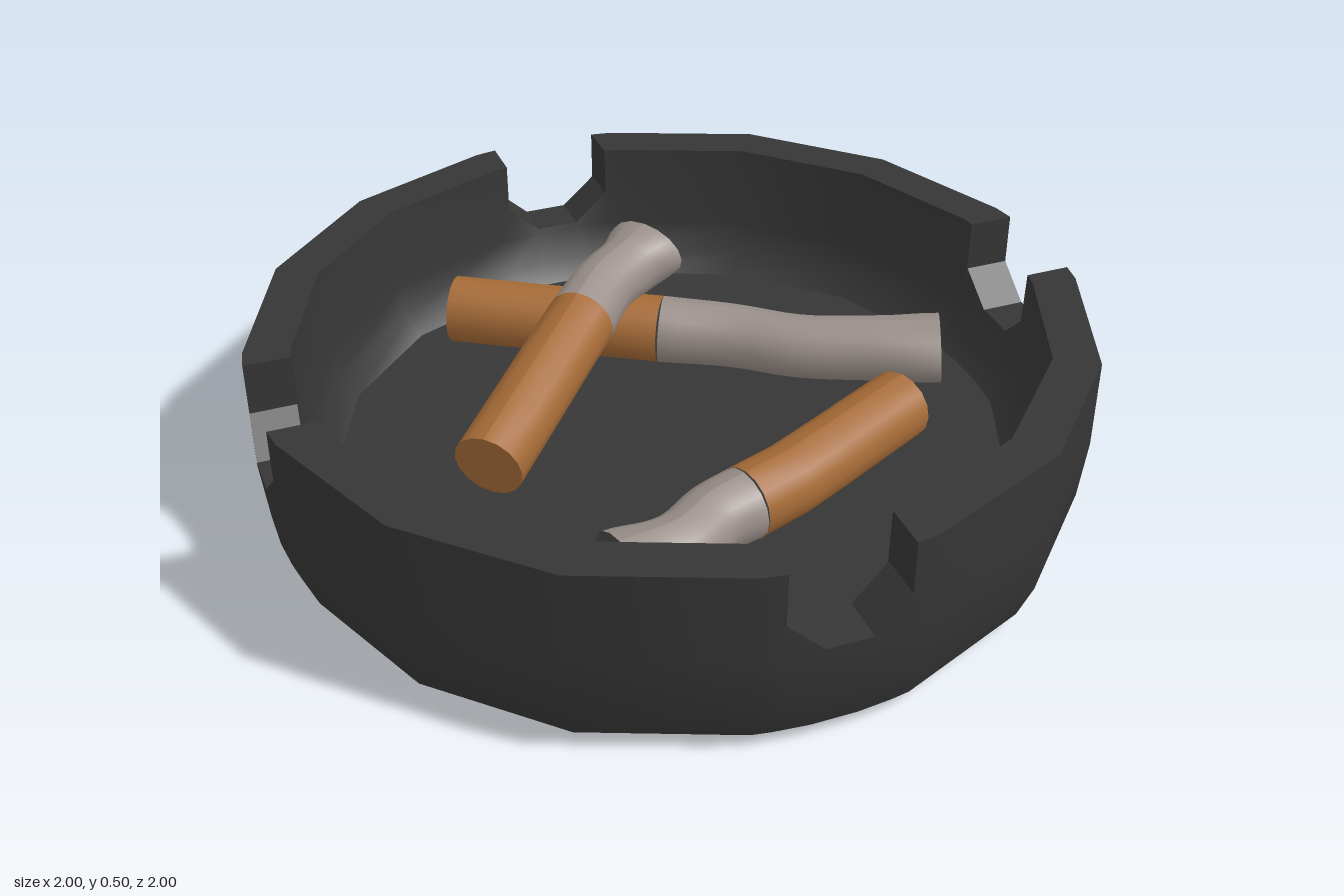
import * as THREE from 'three';
import { toCreasedNormals } from 'three/addons/utils/BufferGeometryUtils.js';

const mat = (name, color) => {
  const m = new THREE.MeshStandardMaterial({ color });
  m.name = name;
  return m;
};

const RIM = 0.5;

// Bowl: one closed profile swept through columns whose top height dips at the four notches
function bowlGeometry() {
  const profile = [
    [0, 0], [0.87, 0], [0.95, 0.04], [0.985, 0.13], [1, 0.28], [1, RIM],
    [0.89, RIM], [0.885, 0.28], [0.865, 0.2], [0.82, 0.15], [0.42, 0.13], [0, 0.12],
  ];
  const column = (base, { off = 0, turn = 0, top = RIM }) => profile.map(([r, y]) => {
    const a = base + turn + Math.asin(off / Math.max(r, 0.82));
    return new THREE.Vector3(r * Math.sin(a), Math.min(y, top), r * Math.cos(a));
  });
  const notch = [{ off: 0.055, top: 0.29 }, { off: 0.14, top: 0.37 }, { off: 0.14 }];
  const columns = [];
  for (let q = 0; q < 4; q++) {
    const base = q * Math.PI / 2, next = base + Math.PI / 2;
    notch.forEach((n) => columns.push(column(base, n)));
    for (let k = 0; k < 4; k++) columns.push(column(base, { turn: (k + 0.5) * Math.PI / 8 }));
    [...notch].reverse().forEach((n) => columns.push(column(next, { ...n, off: -n.off })));
  }
  const points = [];
  const tri = (a, b, c) => {
    if (new THREE.Triangle(a, b, c).getArea() > 1e-6) points.push(a, b, c);
  };
  columns.forEach((left, i) => {
    const right = columns[(i + 1) % columns.length];
    for (let j = 0; j < profile.length - 1; j++) {
      tri(left[j], right[j], right[j + 1]);
      tri(left[j], right[j + 1], left[j + 1]);
    }
  });
  const g = new THREE.BufferGeometry().setFromPoints(points);
  return toCreasedNormals(g, THREE.MathUtils.degToRad(35));
}

// Tube along a path, with its width and height scaled by shape(t)
function bentTube(path, segments, sides, shape) {
  const curve = new THREE.CatmullRomCurve3(path.map((p) => new THREE.Vector3(...p)));
  const g = new THREE.TubeGeometry(curve, segments, 0.088, sides);
  const pos = g.attributes.position, v = new THREE.Vector3();
  for (let i = 0; i < pos.count; i++) {
    const t = Math.floor(i / (sides + 1)) / segments;
    const c = curve.getPointAt(t);
    const [w, h] = shape(t);
    v.fromBufferAttribute(pos, i).sub(c);
    pos.setXYZ(i, c.x + v.x * w, c.y + v.y * h, c.z + v.z * w);
  }
  g.computeVertexNormals();
  return { geometry: g, curve };
}

// Disc closing a tube end
function endCap(curve, t, w, h, material, name) {
  const cap = new THREE.Mesh(new THREE.CircleGeometry(0.088, 16), material);
  const p = curve.getPointAt(t), dir = curve.getTangentAt(t);
  cap.position.copy(p);
  cap.lookAt(p.clone().addScaledVector(dir, t > 0.5 ? 1 : -1));
  cap.scale.set(w, h, 1);
  cap.name = name;
  return cap;
}

// Cigarette stub: straight filter, then crumpled paper that flares at the burnt end
function stub(name, filterPath, paperPath, m) {
  const group = new THREE.Group();
  group.name = name;
  const filter = bentTube(filterPath, 4, 16, () => [1, 1]);
  const flare = (t) => {
    const pinch = Math.sin(Math.PI * Math.min(t / 0.95, 1)) * 0.06;
    const open = THREE.MathUtils.smoothstep(t, 0.7, 1);
    return [1 - pinch + 0.25 * open, 1 - pinch - 0.08 * open];
  };
  const paper = bentTube(paperPath, 16, 16, flare);
  const filterMesh = new THREE.Mesh(filter.geometry, m.filter);
  filterMesh.name = 'filter';
  const paperMesh = new THREE.Mesh(paper.geometry, m.paper);
  paperMesh.name = 'paper';
  group.add(
    filterMesh, paperMesh,
    endCap(filter.curve, 0, 1, 1, m.filter, 'filterEnd'),
    endCap(paper.curve, 1, ...flare(1), m.ash, 'burntEnd'),
  );
  return group;
}

export function createModel() {
  const model = new THREE.Group();
  model.name = 'ashtray';
  const m = {
    tray: mat('charcoal', 0x363636),
    filter: mat('filterOrange', 0xa66b37),
    paper: mat('paperGrey', 0x9a8f8a),
    ash: mat('ashGrey', 0x4a4745),
  };

  const bowl = new THREE.Mesh(bowlGeometry(), m.tray);
  bowl.name = 'bowl';
  model.add(bowl);

  // Stub resting across another one
  model.add(stub('upperStub',
    [[-0.485, 0.225, 0.06], [-0.12, 0.325, -0.33]],
    [[-0.12, 0.325, -0.33], [-0.03, 0.347, -0.425], [0.06, 0.355, -0.49], [0.14, 0.37, -0.545]], m));
  // Long stub lying underneath
  model.add(stub('lowerStub',
    [[-0.36, 0.22, -0.67], [0.115, 0.22, -0.375]],
    [[0.115, 0.22, -0.375], [0.28, 0.215, -0.285], [0.42, 0.215, -0.175], [0.57, 0.225, -0.09], [0.74, 0.235, -0.01]], m));
  // Stub near the front
  model.add(stub('frontStub',
    [[0.53, 0.23, 0.18], [0.1, 0.225, 0.385], [0.02, 0.225, 0.41]],
    [[0.02, 0.225, 0.41], [-0.07, 0.22, 0.435], [-0.18, 0.215, 0.5], [-0.325, 0.215, 0.525]], m));

  return model;
}
